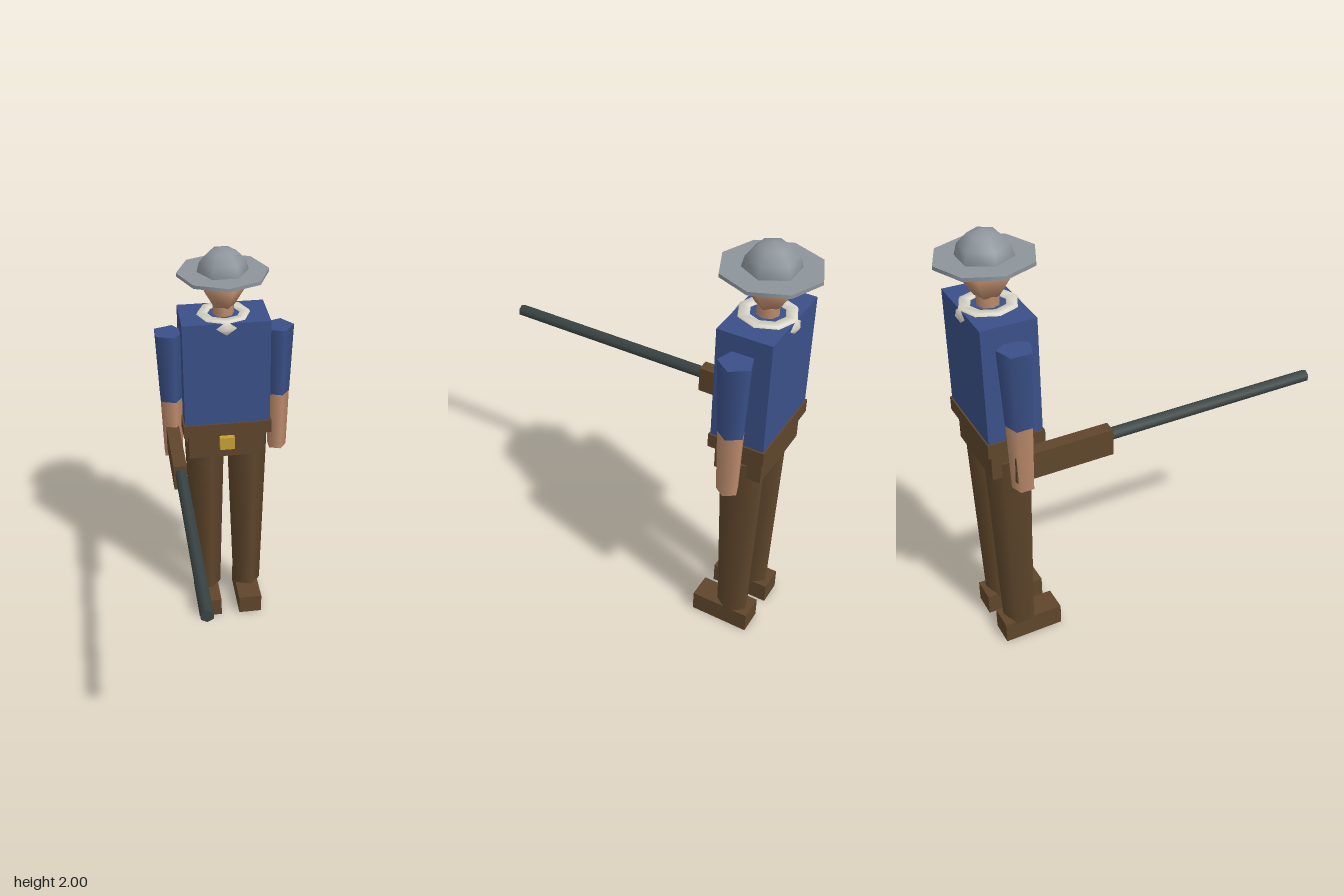
import * as THREE from 'three';

export function createModel() {
  const model = new THREE.Group();
  model.name = 'figure';

  const material = (name, color) => {
    const m = new THREE.MeshStandardMaterial({ color });
    m.name = name;
    return m;
  };
  const blue = material('shirtBlue', 0x3a5088);
  const brown = material('leatherBrown', 0x5f462b);
  const skin = material('skin', 0xbd8c6c);
  const grey = material('hatGrey', 0x8d959b);
  const dark = material('gunMetal', 0x3a4444);
  const gold = material('brass', 0xc4a035);
  const white = material('scarfWhite', 0xdcd8ca);

  // The figure stands behind the origin, balancing the long barrel
  const CX = -0.008, CZ = -0.61;

  const add = (name, geometry, mat, x, y, z) => {
    const mesh = new THREE.Mesh(geometry, mat);
    mesh.name = name;
    mesh.position.set(x, y, z);
    model.add(mesh);
    return mesh;
  };
  const box = (name, mat, w, h, d, x, y, z) =>
    add(name, new THREE.BoxGeometry(w, h, d), mat, x, y, z);
  // Five-sided tapered limb between two heights, one corner towards +x
  const limb = (name, mat, rTop, rBottom, yTop, yBottom, x) =>
    add(name, new THREE.CylinderGeometry(rTop, rBottom, yTop - yBottom, 5).rotateY(Math.PI / 2),
      mat, x, (yTop + yBottom) / 2, CZ);

  // Trunk, belt and hips
  box('torso', blue, 0.416, 0.525, 0.243, CX, 1.4175, CZ);
  box('belt', brown, 0.432, 0.065, 0.257, CX, 1.1225, CZ);
  box('hips', brown, 0.372, 0.13, 0.218, -0.013, 1.025, CZ);
  box('buckle', gold, 0.073, 0.065, 0.03, -0.012, 1.0475, -0.485);

  // Arms and legs, the same on both sides
  for (const [side, s] of [['left', 1], ['right', -1]]) {
    const armX = CX + s * 0.2625;
    limb(side + 'Sleeve', blue, 0.077, 0.061, 1.6, 1.25, armX);
    limb(side + 'Forearm', skin, 0.06, 0.05, 1.25, 0.94, armX);
    const legX = -0.011 + s * 0.108;
    limb(side + 'Leg', brown, 0.108, 0.077, 1.03, 0.09, legX);
    box(side + 'Foot', brown, 0.12, 0.1, 0.28, legX, 0.05, -0.565);
  }

  // Neck and faceted head
  add('neck', new THREE.CylinderGeometry(0.05, 0.05, 0.07, 8), skin, CX, 1.69, CZ);
  const headProfile = [[0, 1.7], [0.055, 1.722], [0.117, 1.82], [0.05, 1.885]]
    .map(([r, y]) => new THREE.Vector2(r, y));
  add('head', new THREE.LatheGeometry(headProfile, 5).rotateY(Math.PI / 2), skin, CX, 0, CZ);

  // Neckerchief ring
  add('scarf', new THREE.TorusGeometry(0.102, 0.04, 6, 8).rotateX(Math.PI / 2), white, CX, 1.655, CZ);

  // Broad-brimmed hat
  add('hatBrim', new THREE.CylinderGeometry(0.215, 0.215, 0.016, 8), grey, CX, 1.881, CZ);
  add('hatCrown', new THREE.SphereGeometry(0.124, 6, 3, 0, Math.PI * 2, 0, Math.PI / 2), grey, CX, 1.876, CZ);

  // Long gun held in the right hand
  box('gunStock', brown, 0.062, 0.125, 0.45, -0.27, 1.0475, -0.425);
  add('gunBarrel', new THREE.CylinderGeometry(0.029, 0.029, 1.075, 6).rotateX(Math.PI / 2),
    dark, -0.268, 1.07, 0.2875);

  return model;
}
